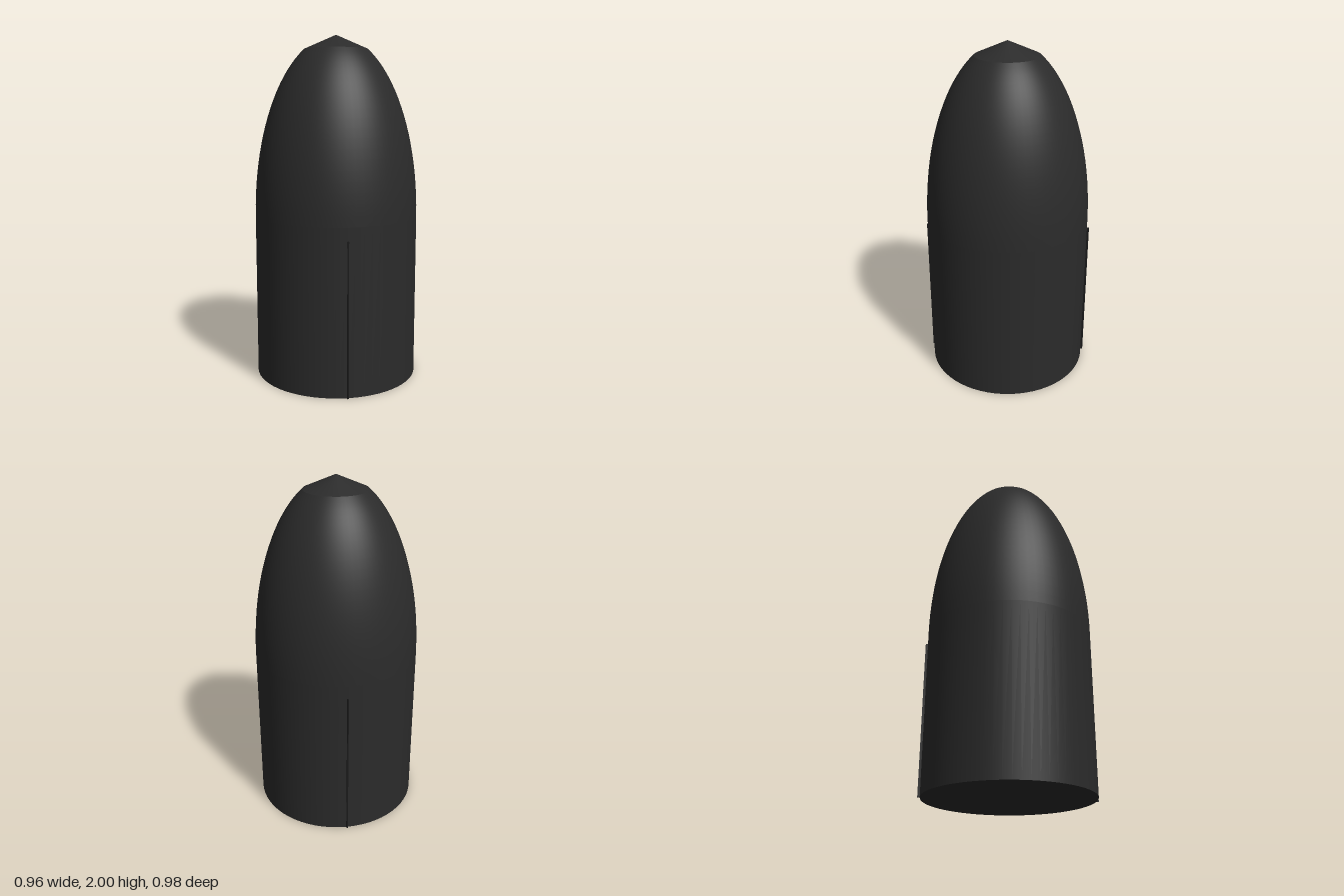
import * as THREE from 'three';

export function createModel() {
  const model = new THREE.Group();
  const charcoal = new THREE.MeshStandardMaterial({ name: 'charcoal', color: 0x2b2b2b });
  const darkSeam = new THREE.MeshStandardMaterial({ name: 'dark seam', color: 0x1a1a1a });
  const R = 0.478, shoulder = 0.96, noseHeight = 1.04, tipY = 1.92;
  const add = (name, geometry, material, y = 0, z = 0) => {
    const mesh = new THREE.Mesh(geometry, material);
    mesh.name = name;
    mesh.position.set(0, y, z);
    model.add(mesh);
  };

  // straight lower body with a closed base
  add('body', new THREE.CylinderGeometry(R, R, shoulder, 64, 1, true), charcoal, shoulder / 2);
  add('base', new THREE.CircleGeometry(R, 64).rotateX(Math.PI / 2), charcoal);

  // elliptical nose, cut off below the tip
  const profile = [];
  const endAngle = Math.asin((tipY - shoulder) / noseHeight);
  for (let i = 0; i <= 20; i++) {
    const a = endAngle * i / 20;
    profile.push(new THREE.Vector2(R * Math.cos(a), shoulder + noseHeight * Math.sin(a)));
  }
  add('nose', new THREE.LatheGeometry(profile, 64), charcoal);

  // shallow conical tip
  const tipRadius = profile[20].x;
  add('tip', new THREE.ConeGeometry(tipRadius, 2 - tipY, 64, 1, true), charcoal, (2 + tipY) / 2);

  // thin raised seams on front and back
  for (const side of [1, -1]) {
    add(side > 0 ? 'frontSeam' : 'backSeam', new THREE.BoxGeometry(0.008, 0.885, 0.03), darkSeam, 0.4425, side * 0.476);
  }
  return model;
}
